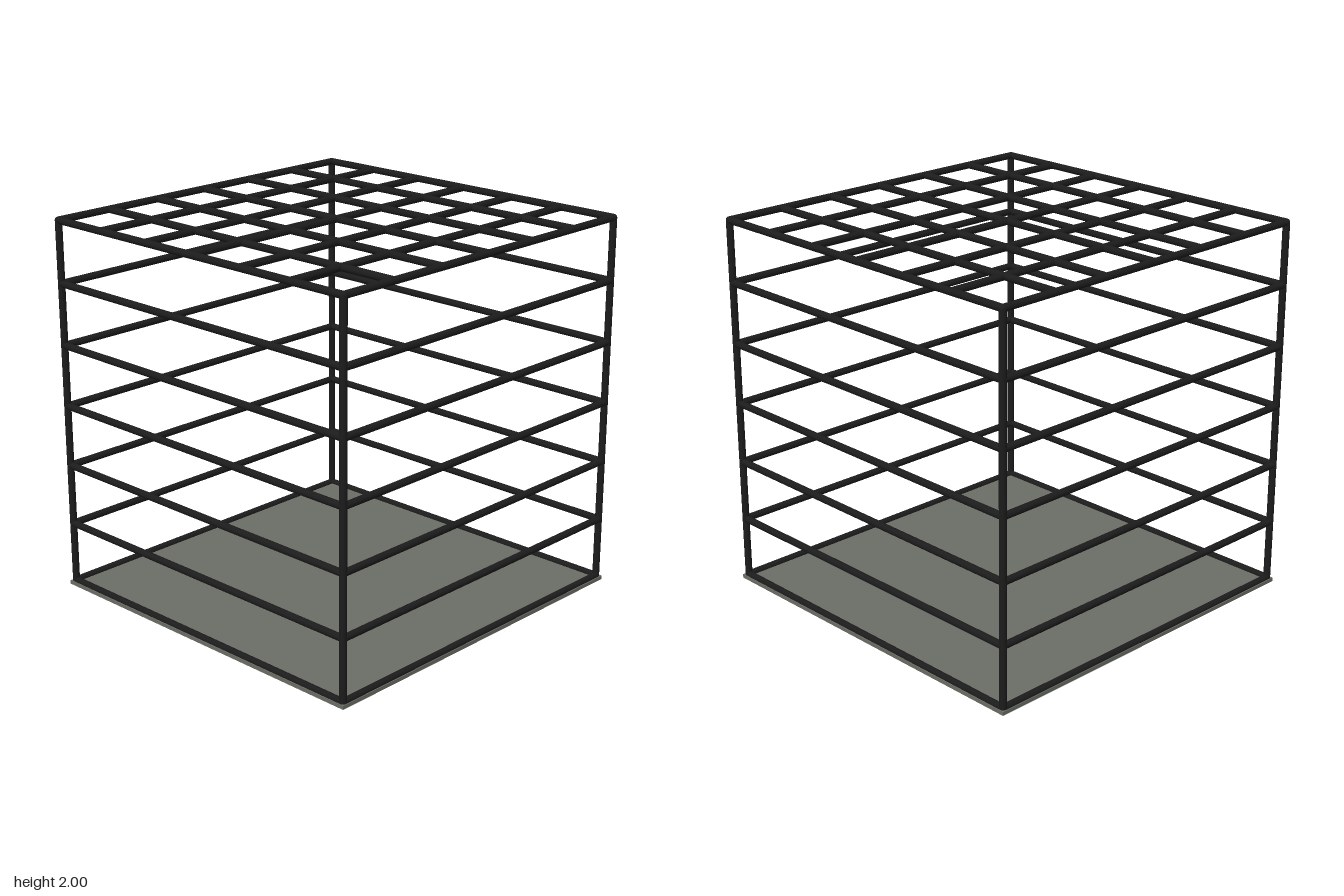
import * as THREE from 'three';

const HALF = 0.977;    // distance from the centre to the outer bar axes
const RADIUS = 0.0185;
const BASE_Y = 0.023;
const CELLS = 6;
const PITCH = (2 * HALF) / CELLS;
const TOP_Y = BASE_Y + 2 * HALF;

export function createModel() {
  const model = new THREE.Group();
  const barMaterial = new THREE.MeshStandardMaterial({ color: 0x1c1c1c });
  barMaterial.name = 'black metal';
  const floorMaterial = new THREE.MeshStandardMaterial({ color: 0x6b6e66 });
  floorMaterial.name = 'grey floor';

  // One round bar, centred at (x, y, z) and running along the given axis
  const barGeometry = new THREE.CylinderGeometry(RADIUS, RADIUS, 2 * HALF, 16);
  function addBar(name, axis, x, y, z, parent) {
    const bar = new THREE.Mesh(barGeometry, barMaterial);
    bar.name = name;
    bar.position.set(x, y, z);
    if (axis === 'x') bar.rotation.z = Math.PI / 2;
    if (axis === 'z') bar.rotation.x = Math.PI / 2;
    parent.add(bar);
  }

  function addGroup(name) {
    const group = new THREE.Group();
    group.name = name;
    model.add(group);
    return group;
  }

  // Floor plate
  const floor = new THREE.Mesh(new THREE.BoxGeometry(2, 0.02, 2), floorMaterial);
  floor.name = 'floor';
  floor.position.y = 0.01;
  model.add(floor);

  // Corner posts, capped by small balls that round the upper corners
  const posts = addGroup('cornerPosts');
  const ballGeometry = new THREE.SphereGeometry(RADIUS, 16, 10);
  for (const x of [-HALF, HALF]) {
    for (const z of [-HALF, HALF]) {
      addBar('cornerPost', 'y', x, BASE_Y + HALF, z, posts);
      for (const y of [BASE_Y, TOP_Y]) {
        const ball = new THREE.Mesh(ballGeometry, barMaterial);
        ball.name = 'cornerJoint';
        ball.position.set(x, y, z);
        posts.add(ball);
      }
    }
  }

  // Horizontal rails around the four sides
  const rails = addGroup('sideRails');
  for (let i = 0; i <= CELLS; i++) {
    const y = BASE_Y + i * PITCH;
    for (const s of [-HALF, HALF]) {
      addBar('sideRail', 'x', 0, y, s, rails);
      addBar('sideRail', 'z', s, y, 0, rails);
    }
  }

  // Crossing bars of the roof, inside its outer rails
  const roof = addGroup('roofGrid');
  for (let i = 1; i < CELLS; i++) {
    const offset = -HALF + i * PITCH;
    addBar('roofBar', 'x', 0, TOP_Y, offset, roof);
    addBar('roofBar', 'z', offset, TOP_Y, 0, roof);
  }

  return model;
}
